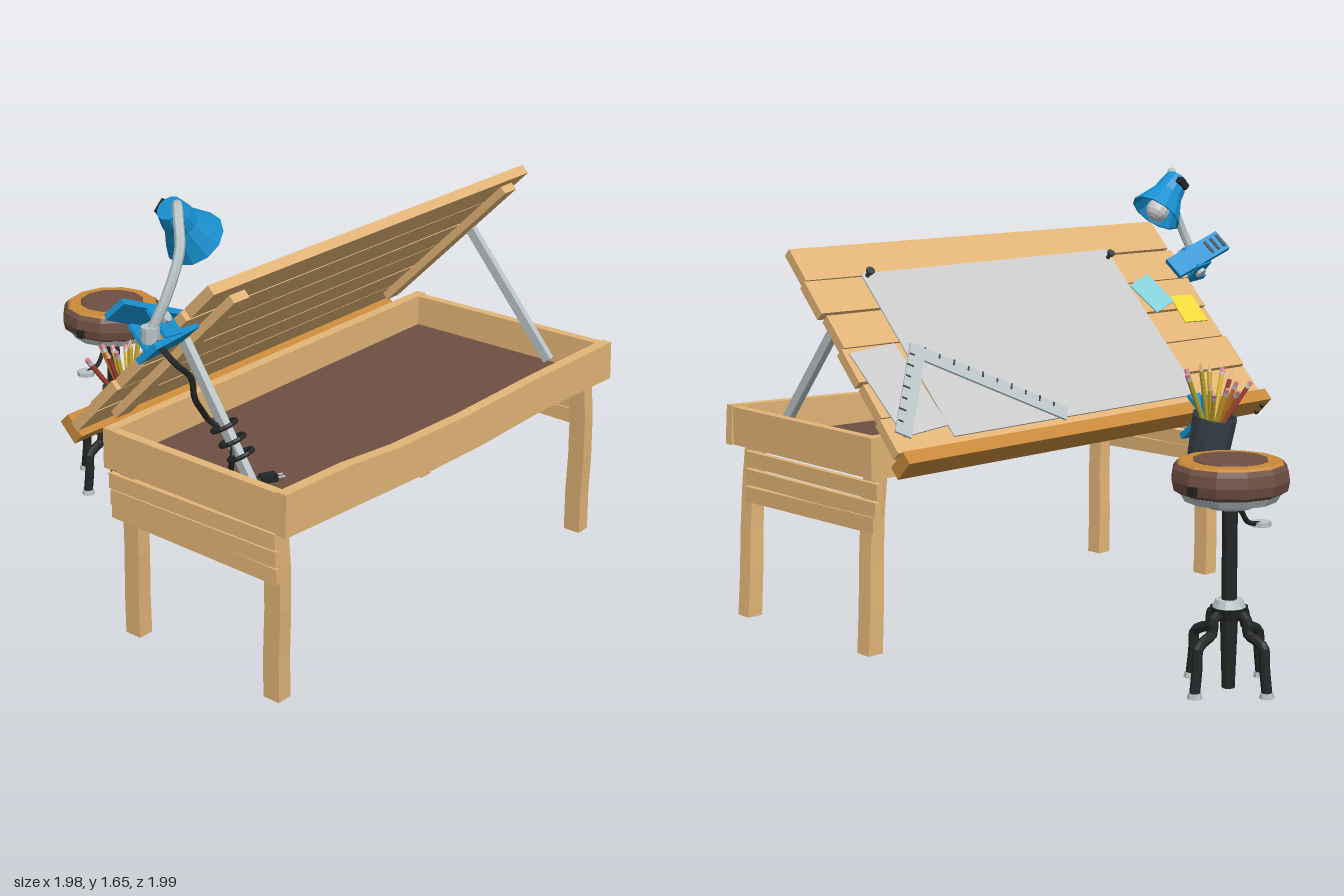
import * as THREE from 'three';

const V = (x, y, z) => new THREE.Vector3(x, y, z);
const mats = {};
const mat = (color, double) => mats[color + '|' + !!double] ??= new THREE.MeshStandardMaterial({
  color, flatShading: true, side: double ? THREE.DoubleSide : THREE.FrontSide });
const WOOD = 0xe3b577, OAK = 0xc98a3a, BROWN = 0x6e4f43, BLUE = 0x1690d0, DARK = 0x3a444b,
  BLACK = 0x222625, METAL = 0xb9c3c6, PAPER = 0xc0c0c0;

function add(parent, name, geo, color, pos = [0, 0, 0], rot = [0, 0, 0], double = false) {
  const m = new THREE.Mesh(geo, mat(color, double));
  m.name = name;
  m.position.set(...pos);
  m.rotation.set(...rot);
  parent.add(m);
  return m;
}
const box = (p, name, color, size, pos, rot) => add(p, name, new THREE.BoxGeometry(...size), color, pos, rot);
const cyl = (p, name, color, rt, rb, h, pos, n = 12, rot) =>
  add(p, name, new THREE.CylinderGeometry(rt, rb, h, n), color, pos, rot);
const tube = (p, name, color, pts, r, seg = 24, n = 6) =>
  add(p, name, new THREE.TubeGeometry(new THREE.CatmullRomCurve3(pts), seg, r, n), color);

// Box stretched between two points, w wide and h high
function bar(p, name, color, a, b, w, h) {
  const m = box(p, name, color, [w, h, a.distanceTo(b)]);
  m.position.copy(a).lerp(b, 0.5);
  m.lookAt(b);
  return m;
}

function buildTable(root) {
  const t = new THREE.Group(); t.name = 'table'; root.add(t);
  // Slightly bowed front apron, running askew
  const s = new THREE.Shape([[-0.8, 0.67], [-0.45, 0.665], [-0.1, 0.66], [0.2, 0.665], [0.55, 0.685], [0.98, 0.685],
    [0.97, 0.83], [0.5, 0.82], [0.1, 0.803], [-0.25, 0.803], [-0.5, 0.82], [-0.8, 0.82]].map(q => new THREE.Vector2(...q)));
  add(t, 'frontApron', new THREE.ExtrudeGeometry(s, { depth: 0.04, bevelEnabled: false }), WOOD, [0, 0, 0.903], [0, -0.052, 0]);
  box(t, 'backApron', WOOD, [1.77, 0.145, 0.04], [0.085, 0.75, 0.135]);
  bar(t, 'sideApron', WOOD, V(-0.782, 0.75, 0.14), V(-0.782, 0.745, 0.88), 0.035, 0.14);
  bar(t, 'sideApron', WOOD, V(0.945, 0.75, 0.14), V(0.95, 0.755, 0.96), 0.035, 0.14);
  // Tray floor follows the skewed front edge
  const floor = new THREE.Shape([[-0.78, -0.14], [0.945, -0.14], [0.945, -0.96], [-0.78, -0.875]].map(q => new THREE.Vector2(...q)));
  add(t, 'trayFloor', new THREE.ExtrudeGeometry(floor, { depth: 0.015, bevelEnabled: false }), BROWN, [0, 0.69, 0], [-Math.PI / 2, 0, 0]);

  // Splayed, slightly crooked legs: top x, foot x, z, foot y
  for (const [x0, x1, z, y0] of [[0.895, 0.95, 0.915, 0.05], [0.9, 0.945, 0.185, 0.06], [-0.745, -0.715, 0.81, 0.03], [-0.755, -0.725, 0.2, 0.05]]) {
    const h = 0.7 - y0, g = new THREE.BoxGeometry(0.052, h, 0.066, 1, 4, 1), p = g.attributes.position;
    for (let i = 0; i < p.count; i++) {
      const k = 0.5 - p.getY(i) / h;
      p.setX(i, p.getX(i) * (1 + 0.15 * k) + x0 + (x1 - x0) * k);
      p.setZ(i, p.getZ(i) + z + 0.008 * Math.sin(k * 5));
    }
    g.computeVertexNormals();
    add(t, 'leg', g, WOOD, [0, y0 + h / 2, 0]);
  }
  // Three slats across each end
  [[0.637, 0.632], [0.572, 0.568], [0.508, 0.518]].forEach(([ya, yb], i) => {
    const o = 0.012 * i;
    bar(t, 'endSlat', WOOD, V(0.935 + o / 2, ya, 0.915 - o / 2), V(0.935 + o / 2, yb, 0.12 + o / 3), 0.022, 0.056);
    bar(t, 'endSlat', WOOD, V(-0.782 + o / 2, ya, 0.85), V(-0.782 + o / 2, yb, 0.13), 0.022, 0.056);
  });
  // Flat struts propping the board
  bar(t, 'strut', METAL, V(-0.745, 0.78, 0.72), V(-0.69, 1.17, 0.385), 0.025, 0.035);
  bar(t, 'strut', METAL, V(0.905, 0.72, 0.77), V(0.905, 1.17, 0.385), 0.025, 0.035);
}

// Board space: x across, y out of the drawing face, z up the slope
function buildBoard(root) {
  const b = new THREE.Group(); b.name = 'drawingBoard';
  b.position.set(0, 0.79, -0.045);
  b.rotation.x = -0.8;
  root.add(b);
  const left = [-0.79, -0.8, -0.785, -0.795, -0.8, -0.79], right = [0.975, 0.965, 0.975, 0.96, 0.975, 0.965];
  left.forEach((l, i) => box(b, 'plank', WOOD, [right[i] - l, 0.036, 0.141],
    [(right[i] + l) / 2, -0.018, 0.0735 + i * 0.1485], [0, (i % 2 ? 1 : -1) * 0.002, 0]));
  box(b, 'batten', WOOD, [0.075, 0.03, 0.75], [-0.635, -0.051, 0.45], [0, 0.01, 0]);
  box(b, 'batten', WOOD, [0.07, 0.03, 0.75], [0.868, -0.051, 0.47], [0, -0.01, 0]);
  box(b, 'ledge', OAK, [1.77, 0.09, 0.05], [0.095, -0.015, -0.025], [0, 0.01, 0]);
  for (const x of [-0.75, 0.94]) for (const y of [-0.035, 0.005])
    cyl(b, 'ledgeScrew', BLACK, 0.009, 0.009, 0.012, [x, y, -0.05], 8, [Math.PI / 2, 0, 0]);

  // Sheets pinned to the face
  box(b, 'drawingSheet', PAPER, [1.19, 0.006, 0.715], [0.135, 0.005, 0.397], [0, 0.012, 0]);
  box(b, 'smallSheet', PAPER, [0.2, 0.006, 0.36], [0.84, 0.004, 0.25], [0, 0.1, 0]);
  box(b, 'yellowNote', 0xf2dc3c, [0.12, 0.005, 0.13], [-0.69, 0.005, 0.44], [0, -0.03, 0]);
  box(b, 'blueNote', 0x86d3dc, [0.13, 0.005, 0.15], [-0.55, 0.006, 0.53], [0, 0.35, 0]);
  for (const [x, z] of [[-0.435, 0.72], [0.715, 0.735]]) {
    cyl(b, 'pin', DARK, 0.008, 0.008, 0.025, [x, 0.018, z], 8);
    cyl(b, 'pinHead', DARK, 0.017, 0.014, 0.012, [x, 0.034, z], 8);
  }
  // Folding ruler with tick marks
  for (const [x0, z0, x1, z1, y] of [[0.21, 0.045, 0.715, 0.405, 0.013], [0.68, 0.405, 0.935, 0.06, 0.02]]) {
    const r = new THREE.Group(); r.name = 'ruler';
    const len = Math.hypot(x1 - x0, z1 - z0);
    r.position.set((x0 + x1) / 2, y, (z0 + z1) / 2);
    r.rotation.y = -Math.atan2(z1 - z0, x1 - x0);
    b.add(r);
    box(r, 'rulerBlade', METAL, [len, 0.007, 0.06]);
    const n = Math.round(len / 0.055);
    for (let i = 1; i < n; i++)
      box(r, 'rulerTick', DARK, [0.006, 0.003, i % 2 ? 0.018 : 0.026], [-len / 2 + i * len / n, 0.0045, 0.018]);
  }
  // Clip gripping the ledge
  box(b, 'clipJaw', BLUE, [0.06, 0.014, 0.13], [-0.405, 0.04, -0.035], [0.1, 0, 0]);
  box(b, 'clipBack', BLUE, [0.07, 0.15, 0.022], [-0.405, -0.025, -0.07], [-0.1, 0, 0]);
  box(b, 'clipHandle', BLUE, [0.05, 0.014, 0.08], [-0.405, 0.065, -0.045], [-0.6, 0, 0]);

  // Spring clamp of the lamp, gripping the board's edge
  const c = new THREE.Group(); c.name = 'lampClamp';
  c.position.set(-0.86, 0, 0.66);
  c.rotation.y = 0.2;
  b.add(c);
  box(c, 'upperJaw', BLUE, [0.27, 0.022, 0.09], [0.0, 0.055, 0], [0, 0, -0.35]);
  box(c, 'lowerJaw', BLUE, [0.27, 0.022, 0.09], [0.02, -0.055, 0], [0, 0, 0.12]);
  for (const z of [-0.045, 0.045]) box(c, 'jawCheek', BLUE, [0.09, 0.11, 0.012], [0, 0, z]);
  for (const i of [0, 1, 2]) box(c, 'gripRib', DARK, [0.012, 0.008, 0.06], [-0.11 + i * 0.03, 0.107 - i * 0.011, 0], [0, 0, -0.35]);
  cyl(c, 'clampPivot', METAL, 0.022, 0.022, 0.13, [0, 0.01, 0], 10, [Math.PI / 2, 0, 0]);
}

function buildLamp(root) {
  const l = new THREE.Group(); l.name = 'lamp'; root.add(l);
  tube(l, 'gooseneck', METAL, [V(-0.93, 1.28, 0.46), V(-0.885, 1.4, 0.49), V(-0.825, 1.53, 0.49), V(-0.785, 1.61, 0.45),
    V(-0.735, 1.637, 0.4), V(-0.69, 1.6, 0.355)], 0.017, 24, 8);
  cyl(l, 'neckSocket', METAL, 0.03, 0.03, 0.05, [-0.93, 1.28, 0.46], 10);
  // Shade and bulb along a tilted axis
  const h = new THREE.Group(); h.name = 'lampHead';
  h.position.set(-0.71, 1.605, 0.35);
  h.quaternion.setFromUnitVectors(V(0, -1, 0), V(0.67, -0.742, 0));
  l.add(h);
  const prof = [[0, 0.015], [0.045, 0.01], [0.055, -0.03], [0.06, -0.07], [0.078, -0.11], [0.103, -0.165], [0.096, -0.165], [0.05, -0.07], [0, -0.06]];
  add(h, 'shade', new THREE.LatheGeometry(prof.map(q => new THREE.Vector2(...q)), 12), BLUE, [0, 0, 0], [0, 0, 0], true);
  cyl(h, 'bulbSocket', METAL, 0.025, 0.03, 0.06, [0, -0.09, 0], 10);
  add(h, 'bulb', new THREE.SphereGeometry(0.046, 12, 8), 0xd8d8d8, [0, -0.15, 0]);
  box(h, 'switch', BLACK, [0.05, 0.025, 0.025], [0.01, -0.02, -0.055]);
  // Power cord, wound round the strut and ending in a plug
  tube(l, 'cord', BLACK, [V(-0.93, 1.27, 0.47), V(-0.915, 1.2, 0.55), V(-0.86, 1.14, 0.565), V(-0.845, 1.07, 0.565), V(-0.79, 1.0, 0.55),
    V(-0.75, 0.95, 0.55), V(-0.71, 0.91, 0.6), V(-0.75, 0.86, 0.64), V(-0.73, 0.78, 0.62), V(-0.7, 0.73, 0.65), V(-0.64, 0.72, 0.61), V(-0.57, 0.72, 0.645)], 0.01, 60);
  for (const [y, z] of [[0.94, 0.585], [0.9, 0.62], [0.86, 0.655]])
    add(l, 'cordLoop', new THREE.TorusGeometry(0.042, 0.008, 6, 14), BLACK, [-0.727, y, z], [1.1, 0.15, 0]);
  bar(l, 'plug', BLACK, V(-0.6, 0.722, 0.63), V(-0.55, 0.722, 0.655), 0.035, 0.025);
  for (const o of [-0.009, 0.009]) bar(l, 'plugPin', METAL, V(-0.55 - o / 2, 0.722, 0.655 + o), V(-0.525 - o / 2, 0.722, 0.667 + o), 0.005, 0.005);
}

function buildPencilCup(root) {
  const c = new THREE.Group(); c.name = 'pencilCup';
  c.position.set(-0.385, 0.615, -0.145);
  c.rotation.x = -0.22;
  root.add(c);
  const prof = [[0, 0], [0.078, 0], [0.085, 0.165], [0.077, 0.165], [0.07, 0.02], [0, 0.02]];
  add(c, 'cup', new THREE.LatheGeometry(prof.map(q => new THREE.Vector2(...q)), 12), DARK, [0, 0, 0], [0, 0, 0], true);
  // Leaning pencils, alternately point up and eraser up
  const colors = [0xd8b52e, 0xd8b52e, 0xc9762c, 0xb8a02a, 0x9a3b32];
  for (let i = 0; i < 12; i++) {
    const a = i * 2.4, r = 0.025 + 0.04 * ((i * 5) % 7) / 6, len = 0.25 + 0.06 * ((i * 3) % 5) / 4;
    const p = new THREE.Group(); p.name = 'pencil';
    const base = V(-Math.cos(a) * r * 0.3, 0.025, -Math.sin(a) * r * 0.3);
    p.position.copy(base);
    p.quaternion.setFromUnitVectors(V(0, 1, 0), V(Math.cos(a) * r, 0.165, Math.sin(a) * r).sub(base).normalize());
    c.add(p);
    cyl(p, 'pencilBody', colors[i % 5], 0.009, 0.009, len, [0, len / 2, 0], 6);
    if (i % 3 === 0) {
      cyl(p, 'pencilPoint', 0xe3bd8a, 0.001, 0.009, 0.035, [0, len + 0.0175, 0], 6);
    } else {
      cyl(p, 'pencilBand', METAL, 0.01, 0.01, 0.012, [0, len + 0.006, 0], 6);
      cyl(p, 'eraser', 0xd98a94, 0.009, 0.009, 0.018, [0, len + 0.02, 0], 6);
    }
  }
}

function buildStool(root) {
  const s = new THREE.Group(); s.name = 'stool';
  s.position.set(0.19, 0, -0.8);
  root.add(s);
  // Padded seat
  const prof = [[0, 0.668], [0.17, 0.668], [0.193, 0.682], [0.2, 0.715], [0.194, 0.752], [0.18, 0.768]];
  add(s, 'seat', new THREE.LatheGeometry(prof.map(q => new THREE.Vector2(...q)), 12), BROWN, [0, 0, 0], [0, 0, 0], true);
  cyl(s, 'seatTrim', OAK, 0.168, 0.181, 0.01, [0, 0.771, 0]);
  cyl(s, 'seatCentre', BROWN, 0.125, 0.128, 0.008, [0, 0.776, 0]);
  for (const x of [-0.2, 0.2]) box(s, 'seatStud', BLACK, [0.016, 0.03, 0.03], [x, 0.7, -0.1 * x]);
  // Under-seat plate, post and collar
  cyl(s, 'seatPlate', METAL, 0.17, 0.155, 0.025, [0, 0.655, 0]);
  cyl(s, 'seatHub', METAL, 0.11, 0.08, 0.025, [0, 0.632, 0]);
  cyl(s, 'post', BLACK, 0.026, 0.026, 0.4, [0, 0.43, 0], 10);
  cyl(s, 'column', BLACK, 0.032, 0.022, 0.29, [0, 0.145, 0], 10);
  cyl(s, 'collar', METAL, 0.045, 0.06, 0.03, [0, 0.29, 0]);
  cyl(s, 'collarBase', BLACK, 0.065, 0.05, 0.04, [0, 0.26, 0]);
  // Height lever
  tube(s, 'lever', BLACK, [V(0, 0.61, 0), V(-0.06, 0.595, 0.01), V(-0.11, 0.545, 0.02), V(-0.17, 0.53, 0.02)], 0.009, 12);
  cyl(s, 'leverPaddle', METAL, 0.035, 0.035, 0.016, [-0.175, 0.53, 0.02], 8);
  // Four bent feet
  for (let i = 0; i < 4; i++) {
    const f = new THREE.Group(); f.name = 'foot';
    f.rotation.y = i * Math.PI / 2 + 0.04;
    s.add(f);
    tube(f, 'footTube', BLACK, [V(0.03, 0.26, 0), V(0.075, 0.25, 0), V(0.085, 0.2, 0), V(0.12, 0.185, 0), V(0.152, 0.165, 0),
      V(0.157, 0.1, 0), V(0.168, 0.015, 0)], 0.018, 20, 8);
    cyl(f, 'footPad', METAL, 0.022, 0.026, 0.018, [0.168, 0.009, 0], 8);
  }
}

export function createModel() {
  const root = new THREE.Group();
  root.name = 'draftingTableSet';
  [buildTable, buildBoard, buildLamp, buildPencilCup, buildStool].forEach(build => build(root));
  return root;
}
